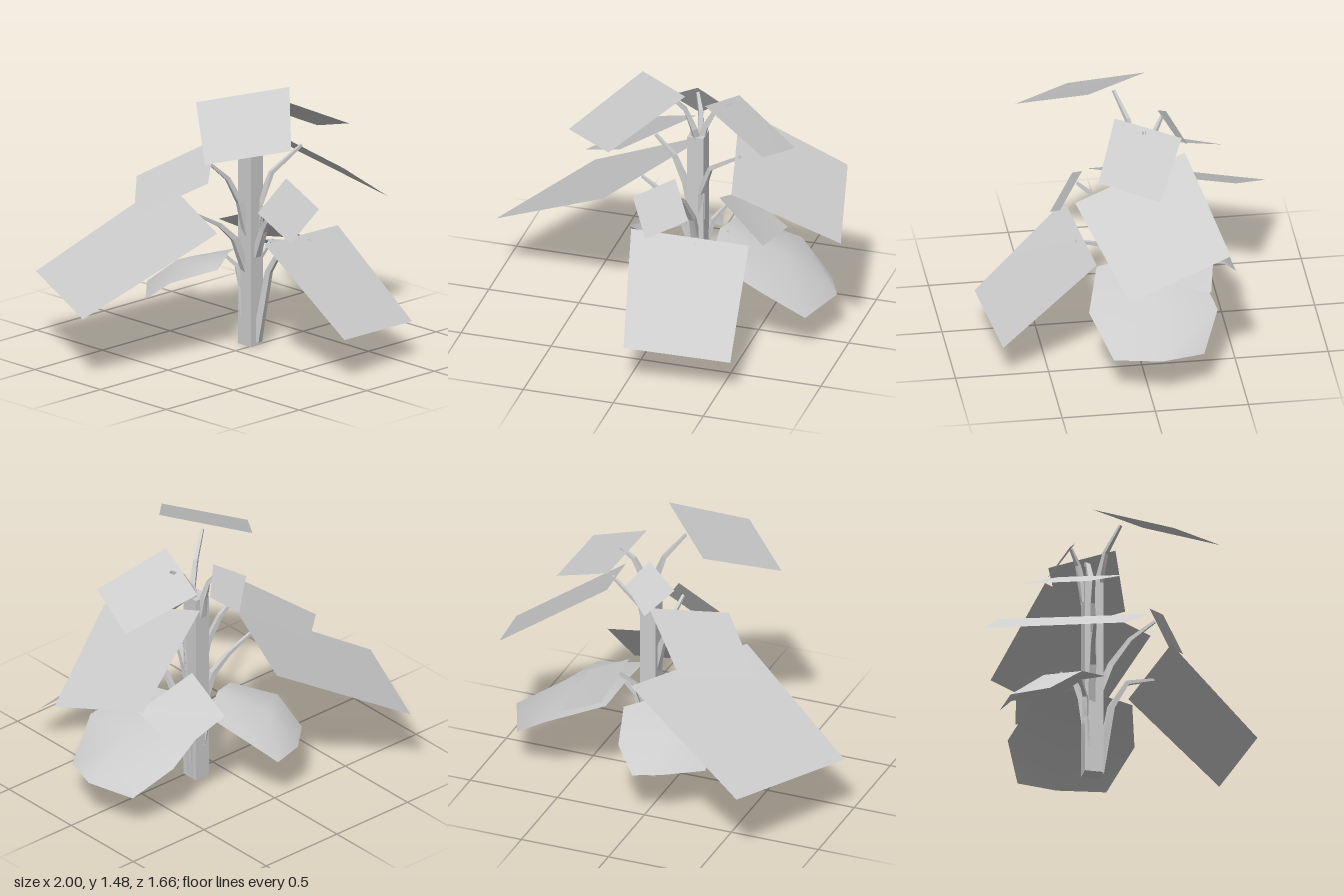
import * as THREE from 'three';

const grey = new THREE.MeshStandardMaterial({ color: 0xcccccc, side: THREE.DoubleSide });
grey.name = 'plainGrey';

// Surface through equally long rows of points
function gridSurface(rows) {
  const n = rows[0].length, index = [];
  for (let r = 0; r < rows.length - 1; r++) {
    for (let c = 0; c < n - 1; c++) {
      const a = r * n + c, b = a + 1, d = a + n, e = d + 1;
      index.push(a, d, b, b, d, e);
    }
  }
  const g = new THREE.BufferGeometry();
  g.setAttribute('position', new THREE.Float32BufferAttribute(rows.flat(2), 3));
  g.setIndex(index);
  g.computeVertexNormals();
  return g;
}

// Four-sided tapering stalk along a bent path
function stalk(points, r0, r1) {
  const p = points.map(a => new THREE.Vector3(...a));
  const rows = p.map((q, i) => {
    const t = p[Math.min(i + 1, p.length - 1)].clone().sub(p[Math.max(i - 1, 0)]).normalize();
    const side = new THREE.Vector3(t.z, 0, -t.x).normalize();
    const up = t.clone().cross(side);
    const r = r0 + (r1 - r0) * i / (p.length - 1);
    return [0, 1, 2, 3, 4].map(k => {
      const a = k * Math.PI / 2 + Math.PI / 4;
      return q.clone().addScaledVector(side, r * Math.cos(a)).addScaledVector(up, r * Math.sin(a)).toArray();
    });
  });
  const g = gridSurface(rows).toNonIndexed();
  g.computeVertexNormals();
  return g;
}

export function createModel() {
  const plant = new THREE.Group();
  plant.name = 'pottedPlant';
  const add = (name, geometry) => {
    const m = new THREE.Mesh(geometry, grey);
    m.name = name;
    plant.add(m);
    return m;
  };

  // Square trunk
  add('trunk', new THREE.BoxGeometry(0.09, 1.11, 0.1)).position.set(0.15, 0.555, -0.04);

  // Flat leaves: four corners in order round the edge
  const flatLeaves = {
    frontLargeLeaf: [[-0.107, 0.687, 0.33], [0.003, 0.242, 0.827], [0.575, 0.207, 0.755], [0.52, 0.64, 0.245]],
    backLargeLeaf: [[-1, 0.36, -0.134], [-0.31, 0.757, 0.18], [0.048, 0.807, -0.572], [-0.668, 0.402, -0.834]],
    topFrontLeaf: [[0.166, 1.484, 0.24], [-0.18, 1.395, -0.116], [-0.476, 1.193, 0.258], [-0.155, 1.274, 0.585]],
    topLeftLeaf: [[0.235, 1.367, 0.107], [0.6, 1.19, 0.247], [0.68, 1.09, -0.075], [0.318, 1.265, -0.24]],
    upperLeftLeaf: [[0.316, 1.174, -0.258], [0.457, 0.995, 0.352], [0.998, 0.673, 0.136], [0.864, 0.835, -0.425]],
    upperRightLeaf: [[0.08, 1.104, -0.24], [-0.214, 0.9, -0.532], [-0.53, 0.805, -0.23], [-0.257, 0.997, 0.055]],
    smallFrontLeaf: [[0.118, 0.992, 0.265], [-0.112, 0.853, 0.285], [0, 0.687, 0.42], [0.23, 0.826, 0.4]],
    smallBackLeaf: [[0.118, 1.33, -0.14], [0.22, 1.206, -0.23], [0.08, 1.088, -0.305], [-0.053, 1.222, -0.21]],
    lowerBackLeaf: [[0.246, 0.698, -0.115], [0.525, 0.513, 0.004], [0.55, 0.44, -0.365], [0.283, 0.58, -0.42]],
  };
  for (const [name, [a, b, c, d]] of Object.entries(flatLeaves)) {
    add(name, gridSurface([[a, d], [b, c]]));
  }

  // Folded leaves: side, ridge, side at root, middle and tip
  add('foldedLeftLeaf', gridSurface([
    [[0.295, 0.5, 0.213], [0.27, 0.55, -0.05], [0.3, 0.5, -0.31]],
    [[0.6, 0.4, 0.298], [0.636, 0.457, -0.05], [0.62, 0.375, -0.39]],
    [[0.818, 0.224, 0.196], [0.92, 0.254, -0.05], [0.818, 0.224, -0.289]],
  ]));
  add('foldedBackLeaf', gridSurface([
    [[0.23, 0.47, -0.23], [0.06, 0.51, -0.11], [-0.1, 0.465, -0.03]],
    [[0.155, 0.385, -0.487], [-0.08, 0.445, -0.36], [-0.285, 0.393, -0.2]],
    [[0.04, 0.268, -0.572], [-0.12, 0.292, -0.55], [-0.3, 0.268, -0.378]],
  ]));

  // Stalks from trunk to leaf
  const stalks = {
    frontLargeStalk: [[0.16, 0.02, 0], [0.18, 0.42, 0.07], [0.2, 0.58, 0.16], [0.24, 0.635, 0.32]],
    backLargeStalk: [[0.13, 0.4, -0.05], [0.05, 0.6, -0.06], [-0.04, 0.69, -0.08], [-0.18, 0.77, -0.1]],
    topFrontStalk: [[0.15, 1.06, -0.02], [0.14, 1.16, 0], [0.1, 1.28, 0.02], [0, 1.405, 0.08]],
    topLeftStalk: [[0.16, 1.06, -0.04], [0.19, 1.16, -0.04], [0.25, 1.27, -0.04], [0.33, 1.32, -0.04]],
    upperLeftStalk: [[0.17, 0.6, -0.02], [0.18, 0.78, 0], [0.24, 0.95, 0.03], [0.42, 1.07, 0.07]],
    upperRightStalk: [[0.13, 0.6, -0.04], [0.08, 0.8, -0.05], [0.01, 0.94, -0.07], [-0.1, 1.04, -0.09]],
    smallFrontStalk: [[0.15, 0.5, 0], [0.15, 0.65, 0.06], [0.13, 0.8, 0.16], [0.1, 0.91, 0.29]],
    smallBackStalk: [[0.15, 1.0, -0.08], [0.15, 1.12, -0.1], [0.14, 1.21, -0.12], [0.11, 1.29, -0.165]],
    lowerBackStalk: [[0.16, 0.3, -0.07], [0.18, 0.45, -0.09], [0.21, 0.56, -0.12], [0.28, 0.64, -0.18]],
    foldedLeftStalk: [[0.18, 0.02, -0.04], [0.2, 0.3, -0.04], [0.23, 0.46, -0.05], [0.32, 0.54, -0.05]],
    foldedBackStalk: [[0.13, 0.15, -0.06], [0.12, 0.32, -0.08], [0.1, 0.43, -0.09], [0.04, 0.5, -0.13]],
  };
  for (const [name, path] of Object.entries(stalks)) {
    add(name, stalk(path, 0.028, 0.01));
  }

  return plant;
}
